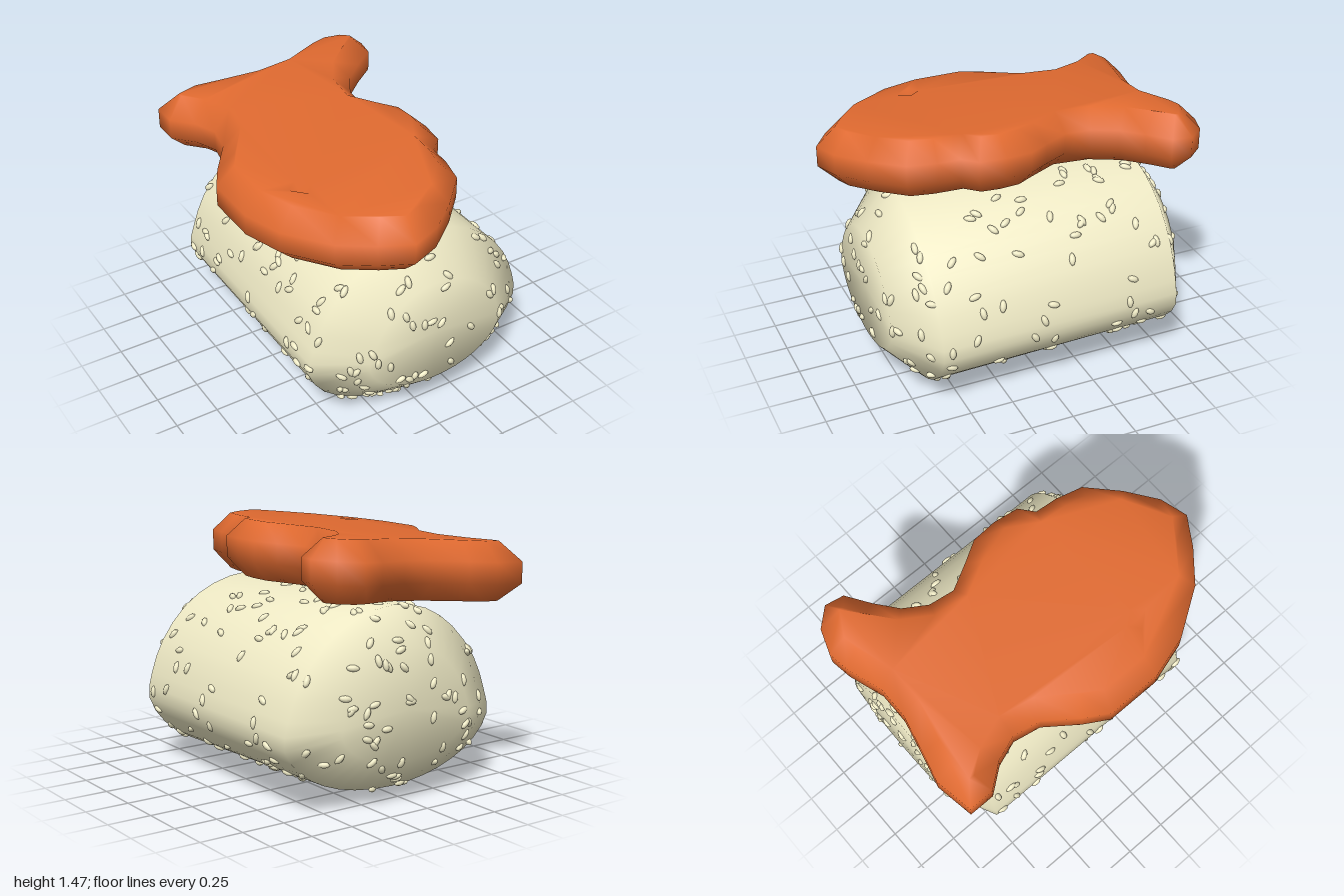
import * as THREE from 'three';
import { mergeGeometries } from 'three/addons/utils/BufferGeometryUtils.js';

function build(pos, index) {
  const g = new THREE.BufferGeometry();
  g.setAttribute('position', new THREE.Float32BufferAttribute(pos, 3));
  g.setIndex(index);
  g.computeVertexNormals();
  return g;
}

// Joins neighbouring closed rings of n points with quads
function joinRings(index, rings, n) {
  for (let r = 0; r < rings - 1; r++)
    for (let i = 0; i < n; i++) {
      const a = r * n + i, b = r * n + (i + 1) % n;
      index.push(a, b, a + n, b, b + n, a + n);
    }
}

// Rice block: a domed cross-section swept along z with chamfered ends
function riceGeometry() {
  const section = [
    [0.05, 0.005], [0.3, 0.03], [0.5, 0.1], [0.65, 0.21], [0.75, 0.37], [0.73, 0.52],
    [0.65, 0.71], [0.5, 0.89], [0.3, 1.01], [0.05, 1.06], [-0.17, 1.02], [-0.36, 0.9],
    [-0.52, 0.71], [-0.6, 0.52], [-0.63, 0.37], [-0.53, 0.21], [-0.37, 0.1], [-0.17, 0.03],
  ].map(([x, y]) => new THREE.Vector3(x, y, 0));
  const n = 36;
  const ring = new THREE.CatmullRomCurve3(section, true).getPoints(n).slice(0, n);
  const stations = [[-0.9, 0.62], [-0.76, 1], [0.65, 1], [0.85, 0.62]];
  const pos = [], index = [];
  for (const [z, s] of stations)
    for (const p of ring) {
      // the underside rises slightly toward the back
      const lift = 0.06 * (0.65 - z) / 1.4 * Math.max(0, (0.38 - p.y) / 0.38);
      pos.push(0.06 + (p.x - 0.06) * s, 0.52 + (p.y + lift - 0.52) * s, z);
    }
  joinRings(index, stations.length, n);
  const last = (stations.length - 1) * n, back = stations.length * n, front = back + 1;
  pos.push(0.06, 0.52, -0.9, 0.06, 0.52, 0.85);
  for (let i = 0; i < n; i++) {
    const j = (i + 1) % n;
    index.push(back, j, i, front, last + i, last + j);
  }
  return build(pos, index);
}

// Loose grains scattered evenly over the rice surface
function grainsGeometry(surface, count) {
  let seed = 7;
  const rnd = () => (seed = (seed * 16807) % 2147483647) / 2147483647;
  const p = surface.attributes.position, nrm = surface.attributes.normal, idx = surface.index.array;
  const tri = new THREE.Triangle(), sums = [];
  let total = 0;
  for (let i = 0; i < idx.length; i += 3) {
    tri.setFromAttributeAndIndices(p, idx[i], idx[i + 1], idx[i + 2]);
    sums.push(total += tri.getArea());
  }
  const grain = new THREE.SphereGeometry(1, 8, 6);
  const grains = [], m = new THREE.Matrix4(), v = new THREE.Vector3();
  for (let k = 0; k < count; k++) {
    const pick = rnd() * total, f = 3 * sums.findIndex((s) => s >= pick);
    let u = rnd(), w = rnd();
    if (u + w > 1) { u = 1 - u; w = 1 - w; }
    const at = new THREE.Vector3(), normal = new THREE.Vector3();
    [1 - u - w, u, w].forEach((weight, c) => {
      at.addScaledVector(v.fromBufferAttribute(p, idx[f + c]), weight);
      normal.addScaledVector(v.fromBufferAttribute(nrm, idx[f + c]), weight);
    });
    const q = new THREE.Quaternion().setFromUnitVectors(new THREE.Vector3(0, 0, 1), normal.normalize());
    q.multiply(new THREE.Quaternion().setFromAxisAngle(new THREE.Vector3(0, 0, 1), rnd() * Math.PI));
    m.compose(at, q, new THREE.Vector3(0.036, 0.018, 0.018));
    grains.push(grain.clone().applyMatrix4(m));
  }
  return mergeGeometries(grains);
}

// Topping: fish-shaped outline (x, z) with bevelled rims, tilted sideways
function fishGeometry() {
  const outline = [
    [-0.2, 1], [-0.04, 0.95], [0.13, 0.82], [0.29, 0.66], [0.33, 0.5], [0.34, 0.37],
    [0.42, 0.3], [0.44, 0.15], [0.43, 0], [0.36, -0.12], [0.28, -0.27], [0.3, -0.42],
    [0.38, -0.55], [0.5, -0.65], [0.63, -0.74], [0.65, -0.85], [0.56, -0.95], [0.42, -1],
    [0.3, -0.98], [0.1, -0.91], [-0.08, -0.91], [-0.3, -0.96], [-0.46, -1], [-0.68, -0.96],
    [-0.68, -0.81], [-0.58, -0.68], [-0.53, -0.54], [-0.56, -0.38], [-0.69, -0.2],
    [-0.77, -0.06], [-0.77, 0.26], [-0.7, 0.5], [-0.53, 0.76], [-0.36, 0.9],
  ].map(([x, z]) => new THREE.Vector2(x, -z));
  const n = outline.length;
  const edgeNormal = (a, b) => new THREE.Vector2(b.y - a.y, a.x - b.x).normalize();
  const inset = outline.map((p, i) => {
    const a = edgeNormal(outline[(i + n - 1) % n], p), b = edgeNormal(p, outline[(i + 1) % n]);
    const dir = a.clone().add(b).normalize();
    return p.clone().addScaledVector(dir, -0.1 * Math.min(1.6, 1 / dir.dot(a)));
  });
  const pos = [], index = [];
  const put = (p, h) => pos.push(p.x, 1.247 + 0.085 * p.x + h, -p.y);
  [[inset, -0.165], [outline, -0.06], [outline, 0.06], [inset, 0.165]]
    .forEach(([ring, h]) => ring.forEach((p) => put(p, h)));
  joinRings(index, 4, n);

  // flat faces, with a small eye dimple in the upper one
  const eye = [[-0.55, 0.34], [-0.48, 0.43], [-0.43, 0.36], [-0.49, 0.29]]
    .map(([x, z]) => new THREE.Vector2(x, -z));
  const face = (holes, first, up) => {
    const pts = [...inset, ...holes.flat()];
    for (const [a, b, c] of THREE.ShapeUtils.triangulateShape(inset.slice(), holes)) {
      const ccw = THREE.ShapeUtils.area([pts[a], pts[b], pts[c]]) > 0;
      const t = ccw === up ? [a, b, c] : [a, c, b];
      index.push(...t.map((i) => first + i));
    }
  };
  face([], 0, false);
  face([eye], 3 * n, true);
  eye.forEach((p) => put(p, 0.165));
  put(new THREE.Vector2(-0.49, -0.36), 0.125);
  for (let i = 0; i < 4; i++) index.push(4 * n + i, 4 * n + (i + 1) % 4, 4 * n + 4);
  return build(pos, index);
}

export function createModel() {
  const group = new THREE.Group();
  const riceColor = new THREE.MeshStandardMaterial({ color: 0xf0ebc6 });
  const fishColor = new THREE.MeshStandardMaterial({ color: 0xe06a30 });
  const add = (name, geometry, material) => {
    const mesh = new THREE.Mesh(geometry, material);
    mesh.name = name;
    group.add(mesh);
  };
  const rice = riceGeometry();
  add('riceBlock', rice, riceColor);
  add('riceGrains', grainsGeometry(rice, 330), riceColor);
  add('fishTopping', fishGeometry(), fishColor);
  return group;
}
